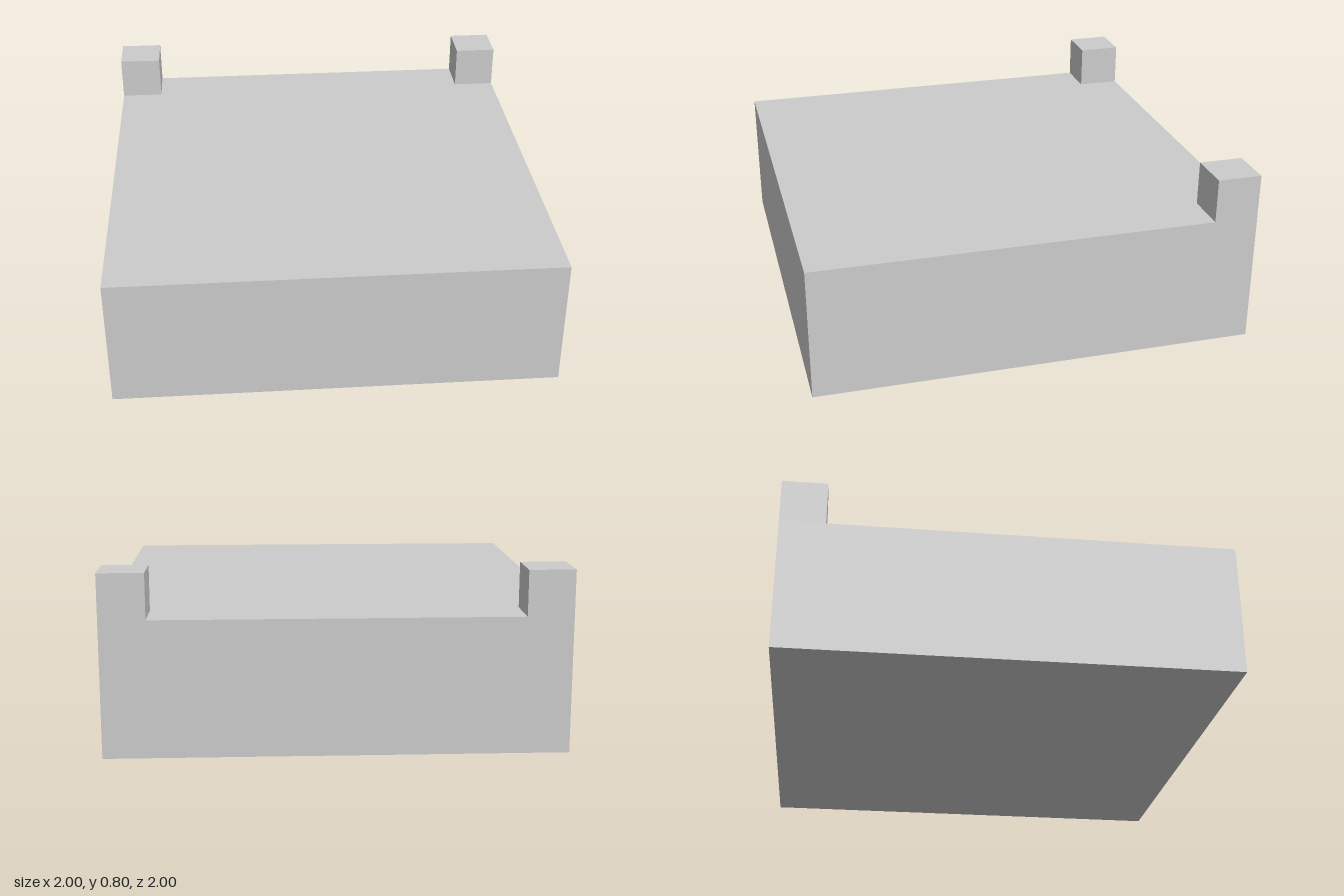
import * as THREE from 'three';

export function createModel() {
  const model = new THREE.Group();
  const material = new THREE.MeshStandardMaterial({ color: 0xcccccc, flatShading: true });

  // Adds a box whose underside sits at height y
  const addBox = (name, w, h, d, x, y, z) => {
    const mesh = new THREE.Mesh(new THREE.BoxGeometry(w, h, d), material);
    mesh.name = name;
    mesh.position.set(x, y + h / 2, z);
    model.add(mesh);
  };

  // Square base slab
  addBox('base', 2, 0.6, 2, 0, 0, 0);

  // Small cube posts on the two back corners
  for (const side of [1, -1]) {
    addBox(side > 0 ? 'leftPost' : 'rightPost', 0.2, 0.2, 0.2, side * 0.9, 0.6, -0.9);
  }

  return model;
}
